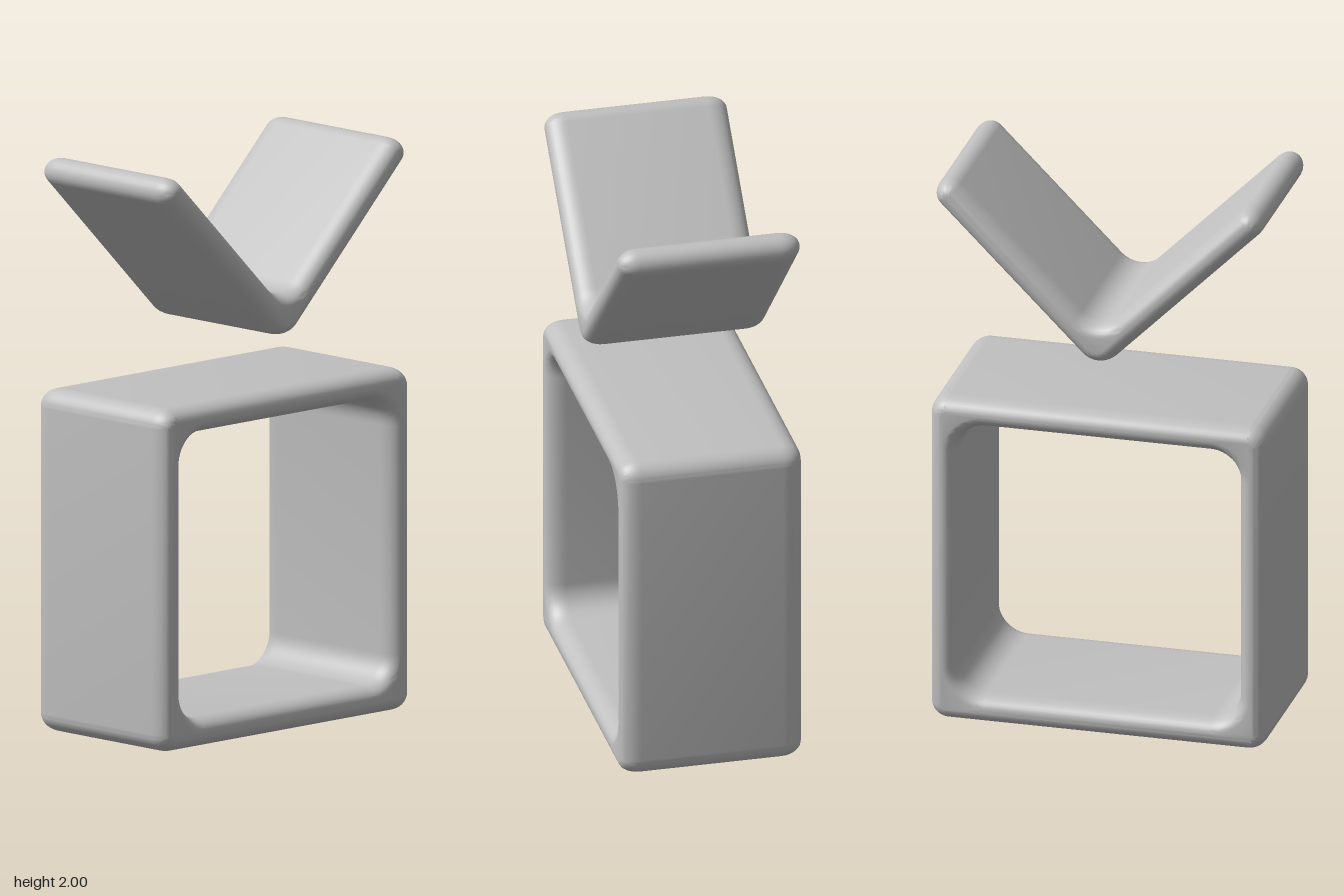
import * as THREE from 'three';
import { toCreasedNormals } from 'three/addons/utils/BufferGeometryUtils.js';

const DEG = Math.PI / 180;
const DEPTH = 0.64;
const BEVEL = 0.07;

// Rounded rectangle centred on (0, cy)
function roundedRect(target, halfW, halfH, cy, r) {
  const x = halfW - r, y = halfH - r;
  [[x, -y, -90], [x, y, 0], [-x, y, 90], [-x, -y, 180]].forEach(([px, py, a]) =>
    target.absarc(px, cy + py, r, a * DEG, (a + 90) * DEG, false));
  target.closePath();
  return target;
}

// Extrude along z with soft rounded rims
function softExtrude(shape) {
  const geo = new THREE.ExtrudeGeometry(shape, {
    depth: DEPTH - 2 * BEVEL,
    curveSegments: 6,
    bevelThickness: BEVEL,
    bevelSize: 0.045,
    bevelOffset: -0.045,
    bevelSegments: 8,
  });
  geo.translate(0, 0, BEVEL - DEPTH / 2);
  return toCreasedNormals(geo, 0.7);
}

export function createModel() {
  const group = new THREE.Group();
  const grey = new THREE.MeshStandardMaterial({ color: 0xc0c0c0 });
  grey.name = 'light grey';

  const add = (name, shape) => {
    const mesh = new THREE.Mesh(softExtrude(shape), grey);
    mesh.name = name;
    group.add(mesh);
  };

  // Open square frame
  const frame = roundedRect(new THREE.Shape(), 0.597, 0.598, 0.6, 0.065);
  frame.holes.push(roundedRect(new THREE.Path(), 0.5, 0.498, 0.602, 0.1));
  add('frame', frame);

  // V-shaped antenna with round tips and a filleted fold
  const vee = new THREE.Shape();
  vee.absarc(0, 1.47, 0.085, 225 * DEG, 315 * DEG, false);
  vee.absarc(0.53, 1.95, 0.05, -45 * DEG, 135 * DEG, false);
  vee.absarc(0, 1.625, 0.095, 315 * DEG, 225 * DEG, true);
  vee.absarc(-0.53, 1.95, 0.05, 45 * DEG, 225 * DEG, false);
  vee.closePath();
  add('antenna', vee);

  return group;
}
